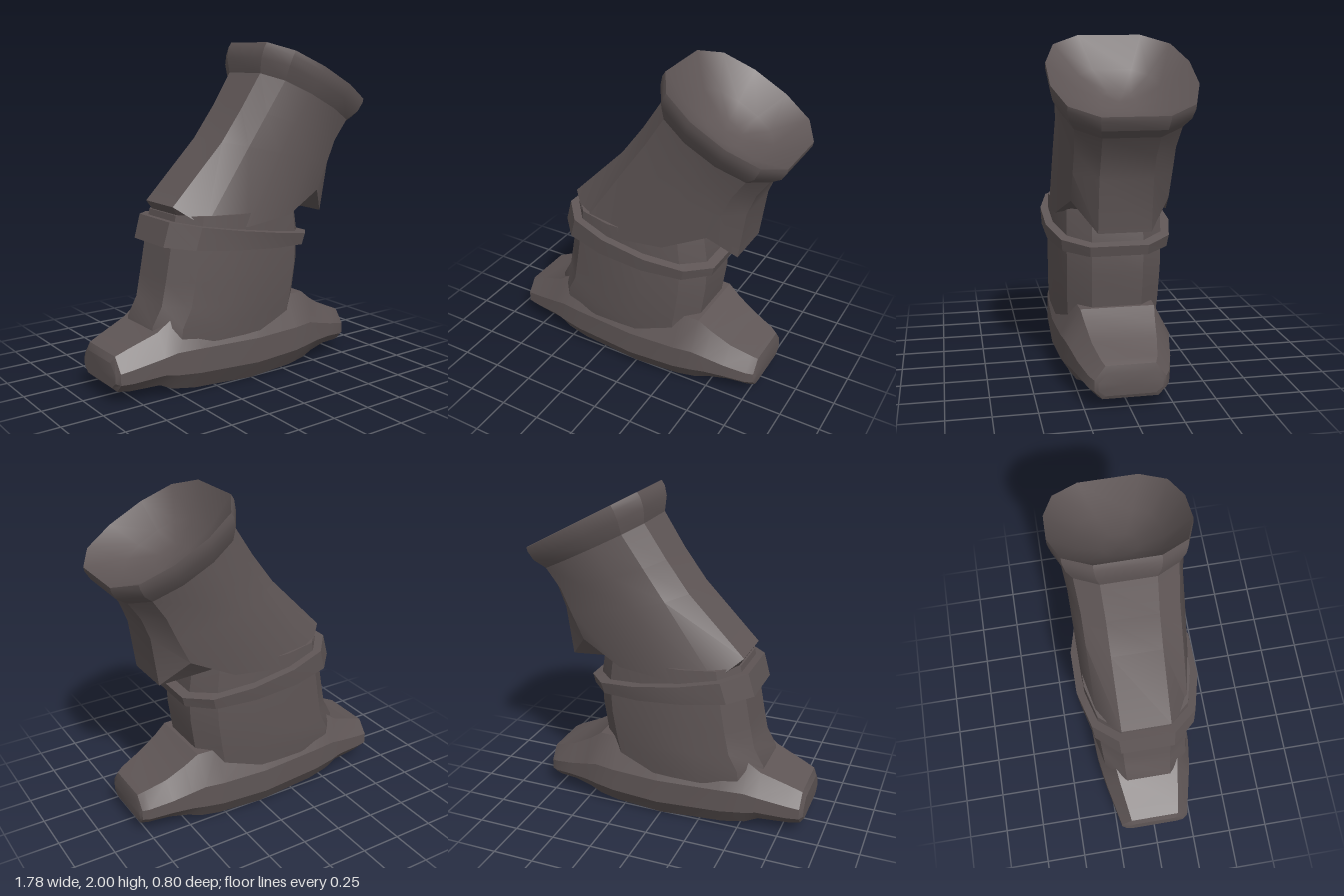
import * as THREE from 'three';
import { toCreasedNormals } from 'three/addons/utils/BufferGeometryUtils.js';

const material = new THREE.MeshStandardMaterial({ color: 0x5f5656 });

// Skin a list of equal-length rings of [x, y, z]; ends are closed with fans
function loft(name, rings, capStart = true, capEnd = true, crease = 0.45) {
  const n = rings[0].length;
  const pos = rings.flat(2);
  const idx = [];
  for (let j = 0; j < rings.length - 1; j++) {
    for (let i = 0; i < n; i++) {
      const k = (i + 1) % n;
      const a = j * n + i, b = j * n + k, c = b + n, d = a + n;
      idx.push(a, d, c, a, c, b);
    }
  }
  const cap = (ring, base, flip) => {
    const centre = pos.length / 3;
    for (let c = 0; c < 3; c++) pos.push(ring.reduce((s, p) => s + p[c], 0) / n);
    for (let i = 0; i < n; i++) {
      const a = base + i, b = base + (i + 1) % n;
      if (flip) idx.push(centre, b, a); else idx.push(centre, a, b);
    }
  };
  if (capStart) cap(rings[0], 0, false);
  if (capEnd) cap(rings[rings.length - 1], (rings.length - 1) * n, true);
  const geo = new THREE.BufferGeometry();
  geo.setAttribute('position', new THREE.Float32BufferAttribute(pos, 3));
  geo.setIndex(idx);
  const mesh = new THREE.Mesh(toCreasedNormals(geo, crease), material);
  mesh.name = name;
  return mesh;
}

// Twelve-sided section, one quarter given and mirrored around
const quarter = [[1, 0.45], [0.75, 0.84], [0.28, 1]];
const half = [...quarter, ...quarter.map(([u, v]) => [-u, v]).reverse()];
const section = [...half, ...half.map(([u, v]) => [u, -v]).reverse()];

// Ring spanning from a low-x point to a high-x point in the xy plane, half depth w
const ring = ([lx, ly, rx, ry, w]) => section.map(([u, v]) => [
  (lx + rx) / 2 + u * (rx - lx) / 2,
  (ly + ry) / 2 + u * (ry - ly) / 2,
  v * w,
]);

// Eight-sided section across the foot
const footRing = ([x, y0, y1, w]) => {
  const h = y1 - y0;
  const side = [[0.78, 0], [1, 0.25], [1, 0.58], [0.7, 1]];
  const loop = [...side, ...side.map(([z, y]) => [-z, y]).reverse()];
  return loop.map(([z, y]) => [x, y0 + y * h, z * w]);
};

export function createModel() {
  const group = new THREE.Group();
  group.name = 'hornPipe';

  // Foot with a blunt toe at each end
  group.add(loft('foot', [
    [-0.89, 0.1, 0.24, 0.19],
    [-0.87, 0.08, 0.28, 0.22],
    [-0.8, 0.07, 0.31, 0.235],
    [-0.62, 0.075, 0.38, 0.275],
    [-0.54, 0.04, 0.44, 0.29],
    [-0.4, 0.02, 0.46, 0.31],
    [0, 0, 0.46, 0.33],
    [0.3, 0.015, 0.46, 0.32],
    [0.42, 0.035, 0.46, 0.31],
    [0.5, 0.06, 0.4, 0.29],
    [0.62, 0.08, 0.33, 0.265],
    [0.75, 0.07, 0.28, 0.225],
    [0.79, 0.07, 0.26, 0.2],
    [0.8, 0.09, 0.22, 0.18],
  ].map(footRing)));

  // Neck, flared at its lower left
  group.add(loft('neck', [
    [-0.63, 0.3, 0.39, 0.3, 0.31],
    [-0.62, 0.4, 0.39, 0.4, 0.32],
    [-0.56, 0.51, 0.4, 0.48, 0.325],
    [-0.53, 0.66, 0.425, 0.66, 0.33],
    [-0.49, 0.88, 0.43, 0.84, 0.33],
    [-0.46, 1.03, 0.4, 1.03, 0.325],
  ].map(ring)));

  // Tilted band around the neck
  group.add(loft('band', [
    [-0.46, 0.9, 0.41, 0.79, 0.31],
    [-0.555, 0.86, 0.47, 0.78, 0.365],
    [-0.515, 1.0, 0.485, 0.84, 0.375],
    [-0.44, 0.99, 0.4, 0.86, 0.31],
  ].map(ring), false, false));

  // Leaning pipe: its lower edge rises into a notch beside the overhang
  const lowerEdge = ring([-0.48, 1.08, 0.62, 0.95, 0.33]);
  const edgeHeights = [0.95, 1.11, 0.99, 0.95, 0.97, 1.08];
  lowerEdge.forEach((p, i) => { p[1] = edgeHeights[Math.min(i, 11 - i)]; });
  group.add(loft('pipe', [
    ring([-0.43, 1.0, 0.39, 1.02, 0.29]),
    lowerEdge,
    ...[
      [-0.14, 1.43, 0.66, 1.25, 0.33],
      [0, 1.62, 0.71, 1.38, 0.33],
      [0.13, 1.82, 0.785, 1.49, 0.345],
    ].map(ring),
  ], true, false));

  // Flared rim turning over into a shallow dish
  group.add(loft('rimAndDish', [
    [0.13, 1.82, 0.785, 1.49, 0.345],
    [0.125, 1.91, 0.855, 1.535, 0.385],
    [0.14, 1.97, 0.885, 1.585, 0.4],
    [0.16, 2.0, 0.89, 1.61, 0.4],
    [0.245, 1.81, 0.685, 1.57, 0.24],
    [0.345, 1.69, 0.525, 1.59, 0.1],
  ].map(ring), false, true));

  return group;
}
